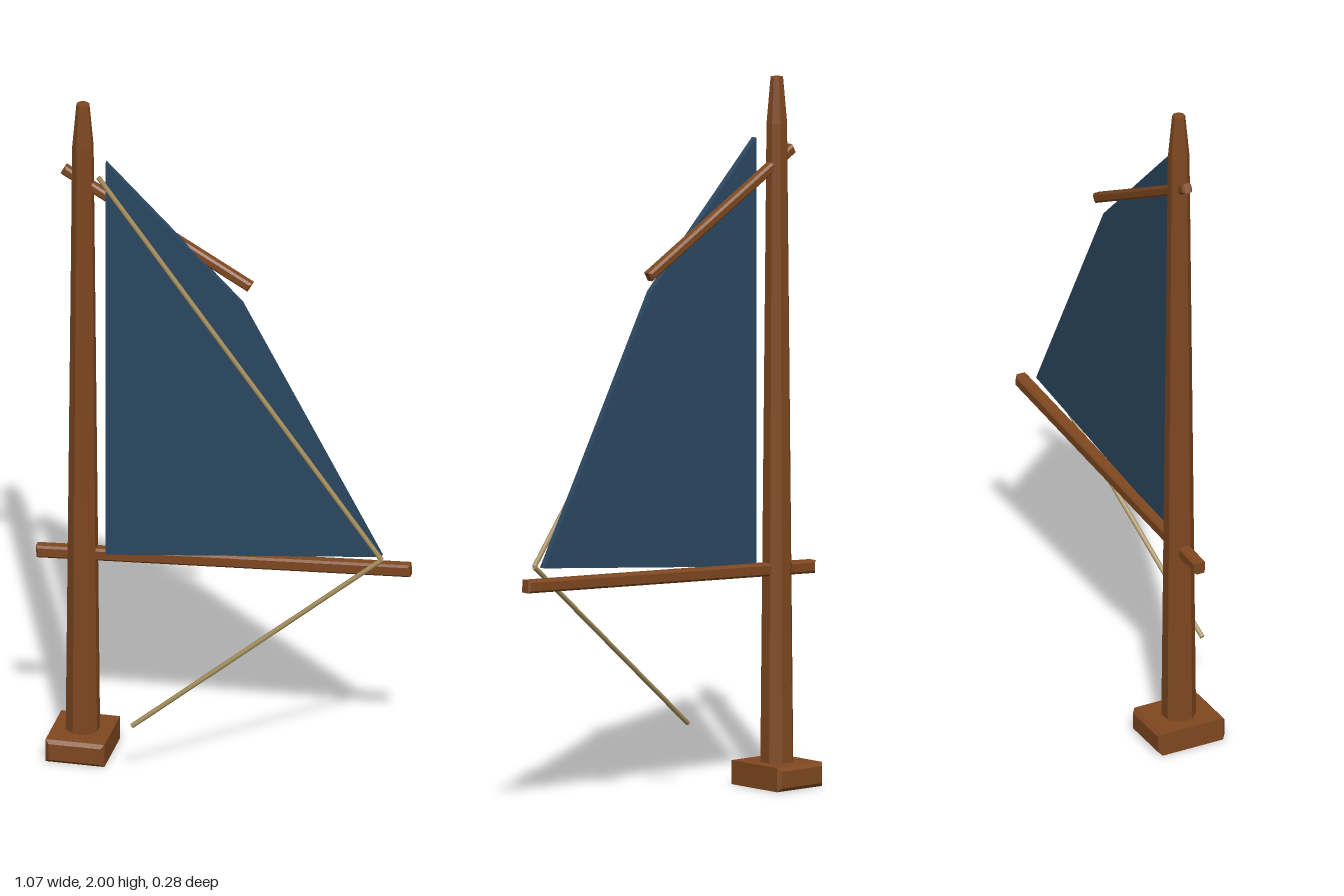
import * as THREE from 'three';

const wood = new THREE.MeshStandardMaterial({ color: 0x7f4820 });
wood.name = 'brown wood';
const cloth = new THREE.MeshStandardMaterial({ color: 0x2b4862 });
cloth.name = 'navy cloth';
const hemp = new THREE.MeshStandardMaterial({ color: 0xa8925f });
hemp.name = 'tan rope';

// Box with chamfered edges, centred on the origin
function chamferBox(w, h, d, c) {
  const x = w / 2 - c, y = h / 2 - c;
  const shape = new THREE.Shape([[-x, -y], [x, -y], [x, y], [-x, y]].map(p => new THREE.Vector2(...p)));
  const geo = new THREE.ExtrudeGeometry(shape, {
    depth: d - 2 * c, bevelEnabled: true, bevelThickness: c, bevelSize: c, bevelSegments: 1,
  });
  return geo.translate(0, 0, c - d / 2);
}

export function createModel() {
  const group = new THREE.Group();
  const add = (name, geo, mat) => {
    const mesh = new THREE.Mesh(geo, mat);
    mesh.name = name;
    group.add(mesh);
    return mesh;
  };
  const mastX = -0.405, mastZ = -0.036;

  // Mast step block
  add('mastBase', chamferBox(0.168, 0.068, 0.21, 0.01), wood).position.set(mastX, 0.036, mastZ);

  // Eight-sided tapering mast with a narrower tip
  const section = (name, rTop, rBottom, y0, y1) => {
    const k = 1 / Math.cos(Math.PI / 8);
    const geo = new THREE.CylinderGeometry(rTop * k, rBottom * k, y1 - y0, 8).toNonIndexed();
    geo.rotateY(Math.PI / 8);
    geo.computeVertexNormals();
    add(name, geo, wood).position.set(mastX, (y0 + y1) / 2, mastZ);
  };
  section('mast', 0.028, 0.045, 0.05, 1.87);
  section('mastTip', 0.017, 0.028, 1.87, 2);

  // Square spars between two points in the plane of the mast
  const spar = (name, x0, y0, x1, y1, h, d, z) => {
    const mesh = add(name, chamferBox(Math.hypot(x1 - x0, y1 - y0), h, d, 0.006), wood);
    mesh.position.set((x0 + x1) / 2, (y0 + y1) / 2, z);
    mesh.rotation.z = Math.atan2(y1 - y0, x1 - x0);
  };
  spar('boom', -0.536, 0.606, 0.533, 0.663, 0.036, 0.036, -0.037);
  spar('gaff', -0.46, 1.794, 0.075, 1.487, 0.028, 0.03, -0.037);

  // Sail panel
  const outline = [[-0.335, 0.625], [0.455, 0.705], [0.055, 1.443], [-0.335, 1.835]];
  const sail = new THREE.ExtrudeGeometry(
    new THREE.Shape(outline.map(p => new THREE.Vector2(...p))), { depth: 0.018, bevelEnabled: false });
  add('sail', sail.translate(0, 0, -0.029), cloth);

  // Thin ropes
  const rope = (name, a, b) => {
    const from = new THREE.Vector3(...a), to = new THREE.Vector3(...b);
    const dir = to.clone().sub(from);
    const geo = new THREE.CylinderGeometry(0.007, 0.007, dir.length(), 6);
    const mesh = add(name, geo, hemp);
    mesh.position.copy(from).add(to).multiplyScalar(0.5);
    mesh.quaternion.setFromUnitVectors(new THREE.Vector3(0, 1, 0), dir.normalize());
  };
  rope('sailRope', [-0.35, 1.8, 0.01], [0.46, 0.705, 0.007]);
  rope('sheetRope', [0.46, 0.705, 0.007], [-0.225, 0.175, 0.134]);

  return group;
}
